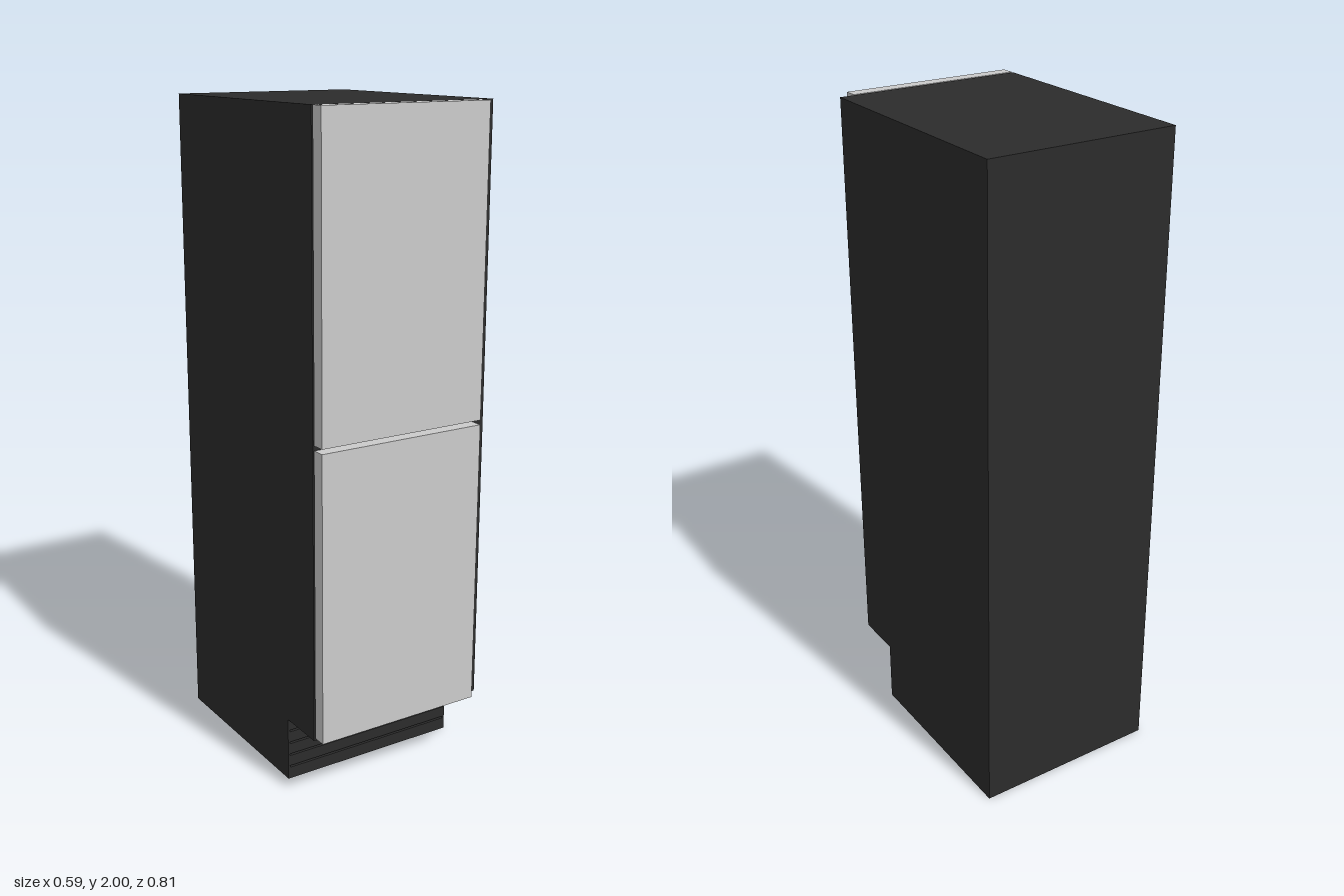
import * as THREE from 'three';

const dark = new THREE.MeshStandardMaterial({ color: 0x2c2c2c });
const grey = new THREE.MeshStandardMaterial({ color: 0xcccccc });

const HALF_W = 0.293, BACK = -0.403, FRONT = 0.355, KICK_Z = 0.205, KICK_H = 0.2;
const GRILLE_T = 0.012;

// Box given by its minimum and maximum corners
function box(name, [x0, y0, z0], [x1, y1, z1], material) {
  const mesh = new THREE.Mesh(new THREE.BoxGeometry(x1 - x0, y1 - y0, z1 - z0), material);
  mesh.position.set((x0 + x1) / 2, (y0 + y1) / 2, (z0 + z1) / 2);
  mesh.name = name;
  return mesh;
}

// Cabinet: side profile (z, y) with a toe-kick notch, extruded across the width
function createCabinet() {
  const kick = KICK_Z - GRILLE_T;
  const profile = new THREE.Shape([
    [BACK, 0], [kick, 0], [kick, KICK_H], [FRONT, KICK_H], [FRONT, 2], [BACK, 2],
  ].map(([z, y]) => new THREE.Vector2(z, y)));
  const geometry = new THREE.ExtrudeGeometry(profile, { depth: 2 * HALF_W, bevelEnabled: false });
  geometry.rotateY(-Math.PI / 2).translate(HALF_W, 0, 0);
  const mesh = new THREE.Mesh(geometry, dark);
  mesh.name = 'cabinet';
  return mesh;
}

// Ventilation grille: a plate with narrow horizontal slots
function createGrille() {
  const rect = (Type, w, y0, y1) => new Type([
    new THREE.Vector2(-w, y0), new THREE.Vector2(w, y0),
    new THREE.Vector2(w, y1), new THREE.Vector2(-w, y1),
  ]);
  const plate = rect(THREE.Shape, HALF_W, 0, KICK_H);
  for (let i = 1; i <= 4; i++) {
    plate.holes.push(rect(THREE.Path, HALF_W - 0.006, i * 0.04 - 0.003, i * 0.04 + 0.003));
  }
  const geometry = new THREE.ExtrudeGeometry(plate, { depth: GRILLE_T, bevelEnabled: false });
  const mesh = new THREE.Mesh(geometry, dark);
  mesh.position.z = KICK_Z - GRILLE_T;
  mesh.name = 'ventGrille';
  return mesh;
}

// Door panel with its slightly inset seal behind it
function createDoor(name, y0, y1) {
  const x0 = -HALF_W, x1 = 0.246, inset = 0.005;
  const door = new THREE.Group();
  door.name = name;
  door.add(
    box('panel', [x0, y0, 0.362], [x1, y1, 0.403], grey),
    box('seal', [x0 + inset, y0 + inset, FRONT], [x1 - inset, y1 - inset, 0.362], dark),
  );
  return door;
}

export function createModel() {
  const model = new THREE.Group();
  model.name = 'refrigerator';
  model.add(
    createCabinet(),
    createGrille(),
    createDoor('upperDoor', 1.1, 2),
    createDoor('lowerDoor', 0.212, 1.086),
  );
  return model;
}
